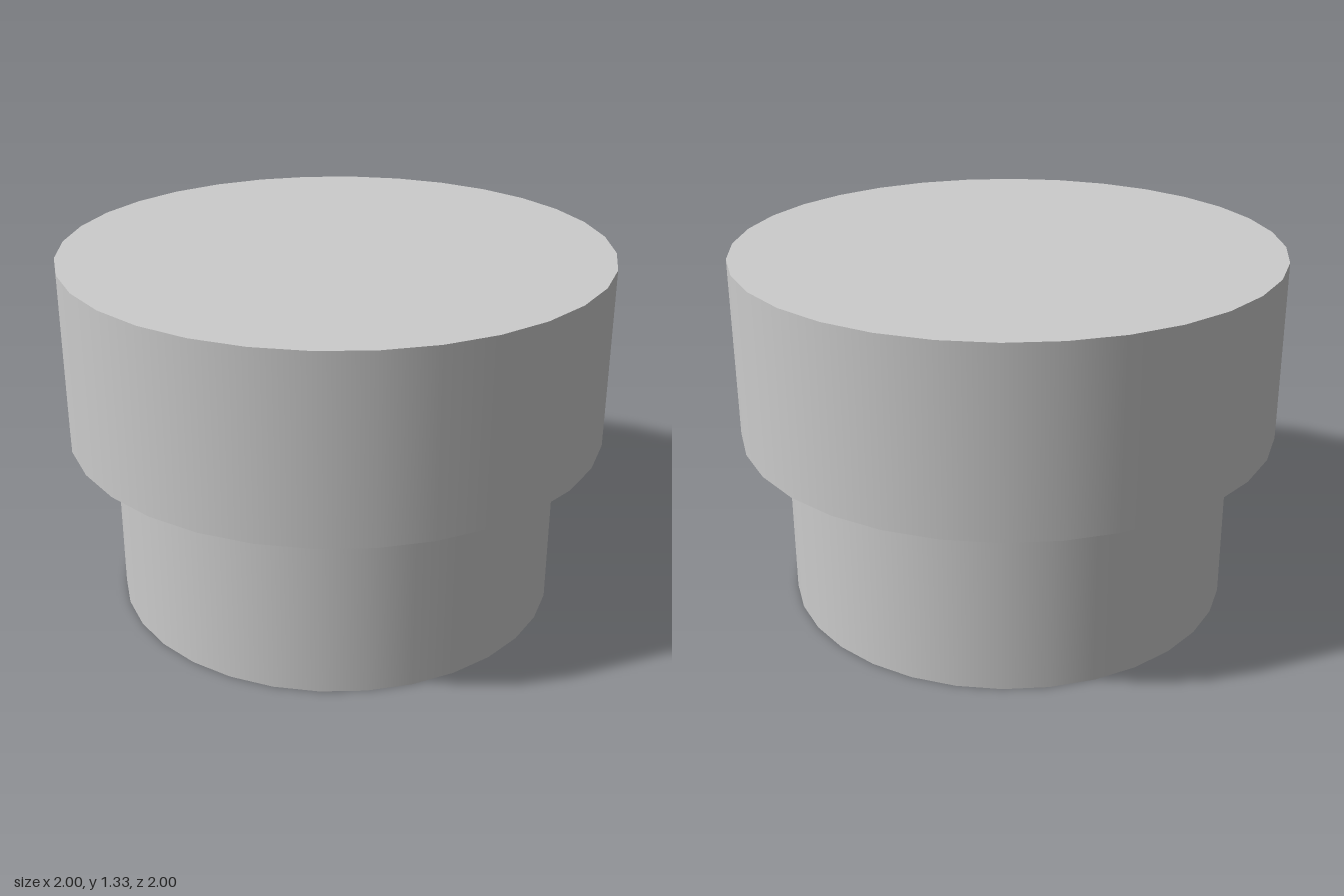
import * as THREE from 'three';

const SIDES = 32;
const TIER = 2 / 3; // height of each tier

export function createModel() {
  const group = new THREE.Group();
  const material = new THREE.MeshStandardMaterial({ color: 0xcccccc });

  const addTier = (name, radius, bottom) => {
    const mesh = new THREE.Mesh(
      new THREE.CylinderGeometry(radius, radius, TIER, SIDES), material);
    mesh.name = name;
    mesh.position.y = bottom + TIER / 2;
    group.add(mesh);
  };

  // Narrow base carrying the wider cap
  addTier('base', 5 / 6, 0);
  addTier('cap', 1, TIER);

  return group;
}
